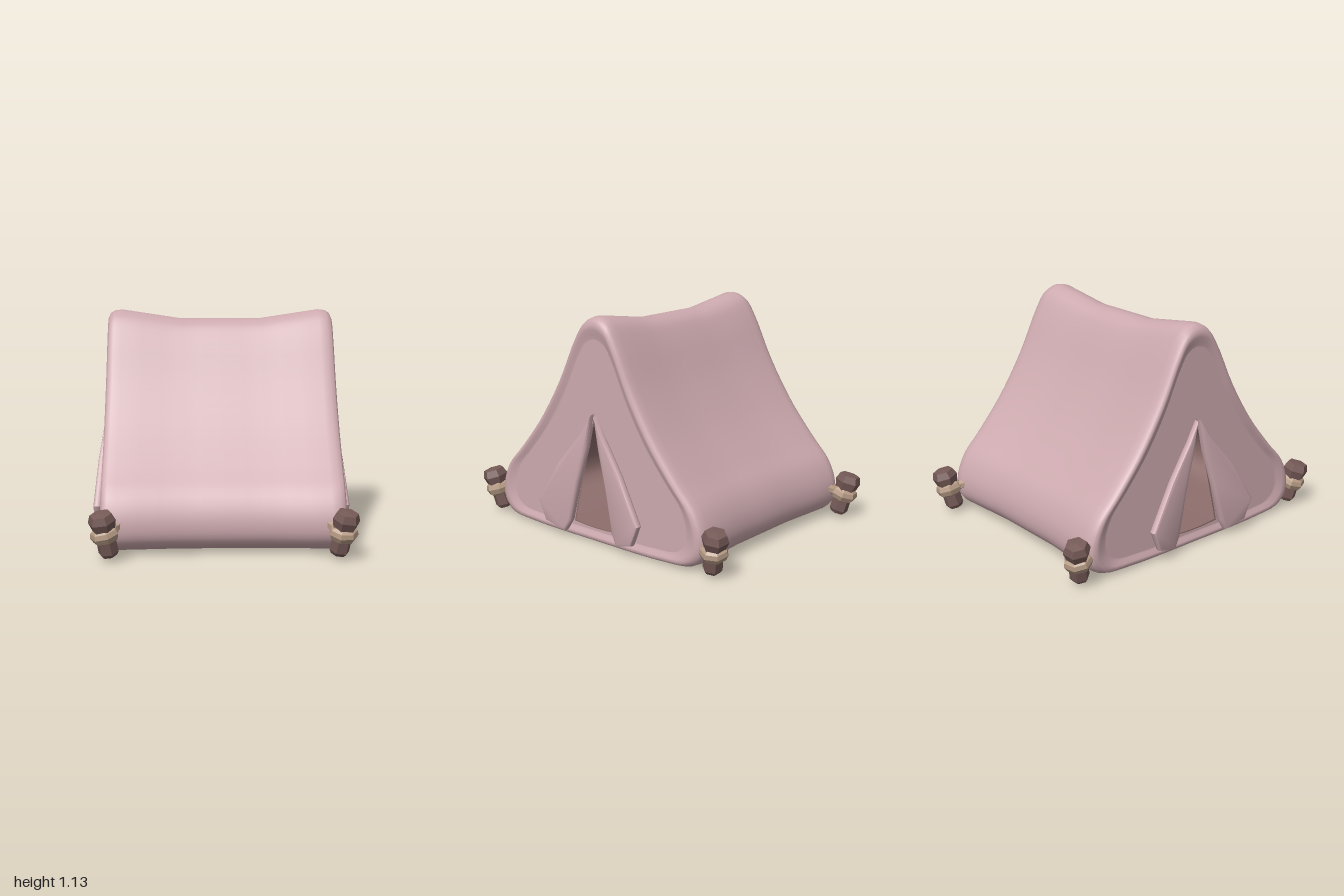
import * as THREE from 'three';
import { toCreasedNormals } from 'three/addons/utils/BufferGeometryUtils.js';

const canvas = new THREE.MeshStandardMaterial({ color: 0xcca9ae, side: THREE.DoubleSide });
canvas.name = 'pinkCanvas';
const lining = new THREE.MeshStandardMaterial({ color: 0x8e6f6d, side: THREE.DoubleSide });
lining.name = 'brownLining';
const wood = new THREE.MeshStandardMaterial({ color: 0x755a57, flatShading: true });
wood.name = 'darkWood';
const rope = new THREE.MeshStandardMaterial({ color: 0xb59a84, flatShading: true });
rope.name = 'tanRope';

// Half cross-section of the tent as [z, y], from ridge to floor
const half = [[0, 1.13], [0.07, 1.105], [0.13, 1.02], [0.24, 0.8], [0.38, 0.58], [0.53, 0.4],
  [0.63, 0.29], [0.675, 0.18], [0.67, 0.09], [0.61, 0.03], [0.45, 0.01], [0, 0.005]];
const loop = half.concat(half.slice(1, -1).reverse().map(([z, y]) => [-z, y]));
const ring = new THREE.CatmullRomCurve3(loop.map(([z, y]) => new THREE.Vector3(0, y, z)), true)
  .getPoints(80).slice(0, -1);

// Ring scaled about the middle of the section
const scaled = (p, s) => [p.z * s, 0.4 + (p.y - 0.4) * s];
// The ends lean outward slightly toward the ground
const flare = (x, y) => x * (1 + 0.025 * (1 - y / 1.1));

function mesh(geometry, material, name) {
  const m = new THREE.Mesh(geometry, material);
  m.name = name;
  return m;
}

// Skin through [x, scale] stations, with a sagging ridge and drawn-in sides
function skin(stations) {
  const pos = [], index = [], n = ring.length;
  stations.forEach(([x, s], i) => {
    const u = THREE.MathUtils.clamp((0.5 - Math.abs(x)) / 0.3, 0, 1);
    ring.forEach((p, j) => {
      const [z, y] = scaled(p, s);
      pos.push(flare(x, y), y - 0.042 * u * (y / 1.1) ** 3, z * (1 - 0.035 * u));
      if (i === stations.length - 1) return;
      const a = i * n + j, b = i * n + (j + 1) % n;
      index.push(a, b, a + n, b, b + n, a + n);
    });
  });
  const g = new THREE.BufferGeometry();
  g.setAttribute('position', new THREE.Float32BufferAttribute(pos, 3));
  g.setIndex(index);
  g.computeVertexNormals();
  return g;
}

// End wall with the pointed doorway
function endWall(x, s) {
  const shape = new THREE.Shape(ring.map(p => new THREE.Vector2(...scaled(p, s))));
  const door = new THREE.Path();
  door.moveTo(0, 0.66);
  door.quadraticCurveTo(0.085, 0.37, 0.145, 0.085);
  door.quadraticCurveTo(0, 0.07, -0.145, 0.085);
  door.quadraticCurveTo(-0.085, 0.37, 0, 0.66);
  shape.holes.push(door);
  const g = new THREE.ShapeGeometry(shape, 8);
  g.rotateY(Math.PI / 2);
  const p = g.attributes.position;
  for (let i = 0; i < p.count; i++) p.setX(i, flare(x, p.getY(i)));
  g.computeVertexNormals();
  return g;
}

// Door flap folded back, its outer edge standing off the wall
function flap(side) {
  const outline = [[0.015, 0.64], [0.06, 0.55], [0.19, 0.39], [0.32, 0.175], [0.28, 0.08],
    [0.18, 0.05], [0.15, 0.1], [0.105, 0.3], [0.05, 0.49]];
  const shape = new THREE.Shape(outline.map(([z, y]) => new THREE.Vector2(z * side, y)));
  const g = new THREE.ExtrudeGeometry(shape, {
    depth: 0.012, bevelThickness: 0.014, bevelSize: 0.012, bevelSegments: 2
  });
  const p = g.attributes.position;
  for (let i = 0; i < p.count; i++) {
    p.setZ(i, p.getZ(i) + 0.555 + 0.055 * Math.min(1, Math.abs(p.getX(i)) / 0.3));
  }
  g.rotateY(Math.PI / 2);
  return toCreasedNormals(g, 0.8);
}

// Chunky peg with a rope binding
function peg() {
  const g = new THREE.Group();
  g.name = 'peg';
  const profile = [[0, -0.108], [0.036, -0.108], [0.048, -0.09], [0.046, 0], [0.066, 0.07],
    [0.052, 0.105], [0, 0.11]];
  g.add(mesh(new THREE.LatheGeometry(profile.map(p => new THREE.Vector2(...p)), 6), wood, 'pegStake'));
  const wrap = [[0.044, -0.036], [0.06, -0.026], [0.071, 0], [0.064, 0.022], [0.048, 0.034]];
  const binding = mesh(new THREE.LatheGeometry(wrap.map(p => new THREE.Vector2(...p)), 7), rope, 'pegBinding');
  binding.rotation.z = 0.1;
  g.add(binding);
  const tie = mesh(new THREE.CylinderGeometry(0.02, 0.026, 0.07, 6), rope, 'pegTie');
  tie.rotation.x = Math.PI / 2;
  tie.position.z = -0.06;
  g.add(tie);
  return g;
}

export function createModel() {
  const model = new THREE.Group();
  model.name = 'tent';
  const tent = new THREE.Group();
  tent.name = 'tentBody';
  tent.rotation.y = 0.637;
  model.add(tent);

  // Outer skin with softly rolled rims at both ends
  const rim = [[0.553, 0.85], [0.557, 0.88], [0.565, 0.915], [0.567, 0.945], [0.558, 0.975],
    [0.537, 0.993], [0.5, 1]];
  const middle = [-0.4, -0.3, -0.2, -0.1, 0, 0.1, 0.2, 0.3, 0.4].map(x => [x, 1]);
  const stations = [...rim.map(([x, s]) => [-x, s]), ...middle, ...rim.slice().reverse()];
  tent.add(mesh(skin(stations), canvas, 'canvasSkin'));

  // Inside skin and floor
  tent.add(mesh(skin([-0.543, -0.25, 0, 0.25, 0.543].map(x => [x, 0.9])), lining, 'innerLining'));

  // Matching ends
  for (const turn of [0, Math.PI]) {
    const end = new THREE.Group();
    end.name = turn ? 'rearEnd' : 'frontEnd';
    end.rotation.y = turn;
    end.add(mesh(endWall(0.553, 0.85), canvas, 'endWall'));
    end.add(mesh(endWall(0.543, 0.9), lining, 'endLining'));
    for (const side of [1, -1]) end.add(mesh(flap(side), canvas, 'doorFlap'));
    tent.add(end);
  }

  // Corner pegs, leaning away from the tent
  for (const sx of [1, -1]) {
    for (const sz of [1, -1]) {
      const holder = new THREE.Group();
      holder.name = 'cornerPeg';
      holder.position.set(0.55 * sx, 0.133, 0.728 * sz);
      holder.rotation.y = Math.atan2(0.55 * sx, 0.728 * sz);
      const p = peg();
      p.rotation.x = 0.28;
      holder.add(p);
      tent.add(holder);
    }
  }
  return model;
}
